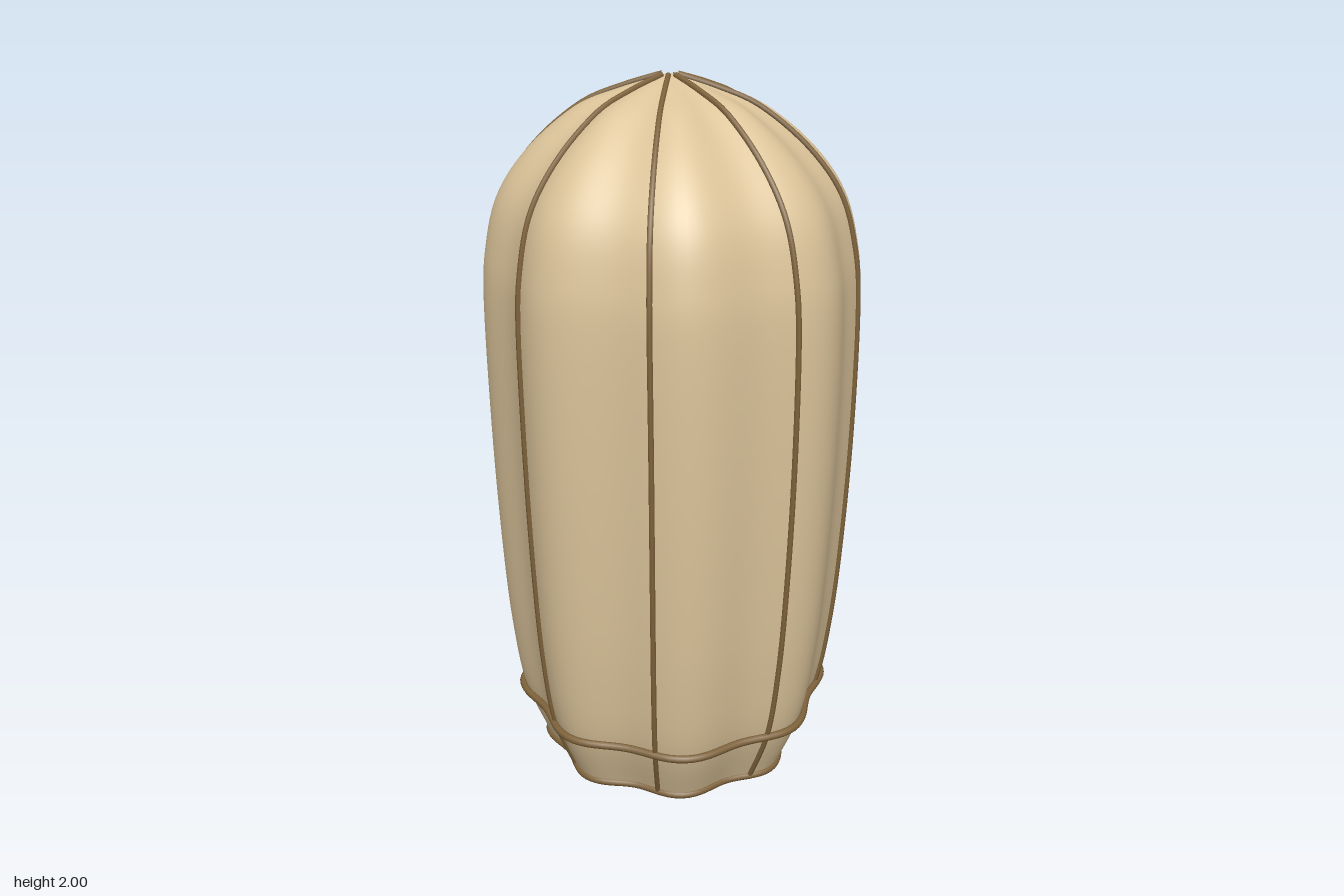
import * as THREE from 'three';
import { mergeVertices } from 'three/addons/utils/BufferGeometryUtils.js';

const paper = new THREE.MeshStandardMaterial({ color: 0xdcc49a, side: THREE.DoubleSide });
const bamboo = new THREE.MeshStandardMaterial({ color: 0x80643c });
const dark = new THREE.MeshStandardMaterial({ color: 0x3a3024 });
const grey = new THREE.MeshStandardMaterial({ color: 0xcccccc });

// Radius and height of the envelope, bottom to top
const profile = new THREE.SplineCurve([
  [0.36, 0.012], [0.43, 0.19], [0.464, 0.4], [0.484, 0.65], [0.499, 1], [0.503, 1.38],
  [0.488, 1.55], [0.447, 1.69], [0.358, 1.81], [0.235, 1.91], [0.13, 1.955], [0.022, 1.988],
].map(([r, y]) => new THREE.Vector2(r, y)));

const lobe = (a) => Math.sin(8 * a);
// Slight sideways lean of the frame
const sway = (y) => -(y > 1 ? 0.02 : 0.009) * (y - 1) ** 2;
const polar = (a, r, y) => new THREE.Vector3(r * Math.cos(a) + sway(y), y, -r * Math.sin(a));

function add(group, name, geometry, material) {
  const mesh = new THREE.Mesh(geometry, material);
  mesh.name = name;
  group.add(mesh);
  return mesh;
}

// Paper envelope: a lathe with eight soft lobes pressed into it
function envelopeGeometry() {
  const points = [...profile.getPoints(70), new THREE.Vector2(0, 1.994)];
  let g = new THREE.LatheGeometry(points, 128);
  const p = g.attributes.position;
  for (let i = 0; i < p.count; i++) {
    const x = p.getX(i), y = p.getY(i), z = p.getZ(i);
    const r = Math.hypot(x, z);
    const a = Math.atan2(-z, x);
    const swell = 0.018 * THREE.MathUtils.smoothstep(r, 0.03, 0.25);
    const v = polar(a, r + swell * lobe(a), y);
    p.setXYZ(i, v.x, v.y, v.z);
  }
  g.deleteAttribute('uv');
  g.deleteAttribute('normal');
  g = mergeVertices(g, 1e-5);
  g.computeVertexNormals();
  return g;
}

// Hoop that follows the lobes
function hoopGeometry(radius, y) {
  const points = [];
  for (let i = 0; i < 64; i++) {
    const a = (i / 64) * Math.PI * 2;
    points.push(polar(a, radius + 0.018 * lobe(a), y));
  }
  return new THREE.TubeGeometry(new THREE.CatmullRomCurve3(points, true), 128, 0.011, 8, true);
}

export function createModel() {
  const lantern = new THREE.Group();
  lantern.name = 'skyLantern';

  add(lantern, 'paperEnvelope', envelopeGeometry(), paper);

  // Eight ribs from the mouth to the crown
  const ribs = new THREE.Group();
  ribs.name = 'ribs';
  lantern.add(ribs);
  for (let k = 0; k < 8; k++) {
    const path = profile.getPoints(40).map((q) => polar((k * Math.PI) / 4, q.x + 0.003, q.y + 0.003));
    add(ribs, 'rib', new THREE.TubeGeometry(new THREE.CatmullRomCurve3(path), 80, 0.008, 6), bamboo);
  }

  // Mouth hoop and the hoop above it
  add(lantern, 'mouthHoop', hoopGeometry(0.362, 0.014), bamboo);
  add(lantern, 'upperHoop', hoopGeometry(0.438, 0.187), bamboo);

  // Burner carried on two crossed wires
  const burner = new THREE.Group();
  burner.name = 'burner';
  burner.position.x = sway(0);
  lantern.add(burner);
  for (const turn of [0, Math.PI / 2]) {
    const wire = add(burner, 'crossWire', new THREE.CylinderGeometry(0.006, 0.006, 0.72, 6), bamboo);
    wire.rotation.set(Math.PI / 2, 0, turn);
    wire.position.y = 0.018;
  }
  add(burner, 'burnerCup', new THREE.CylinderGeometry(0.065, 0.055, 0.035, 24), dark).position.y = 0.035;

  const flame = new THREE.SplineCurve([
    [0, 0], [0.03, 0.012], [0.038, 0.045], [0.026, 0.095], [0.011, 0.14], [0, 0.165],
  ].map(([r, y]) => new THREE.Vector2(r, y)));
  const flamePoints = flame.getPoints(20).map((q) => new THREE.Vector2(Math.max(q.x, 0), q.y));
  add(burner, 'flame', new THREE.LatheGeometry(flamePoints, 20), grey).position.y = 0.05;

  return lantern;
}
